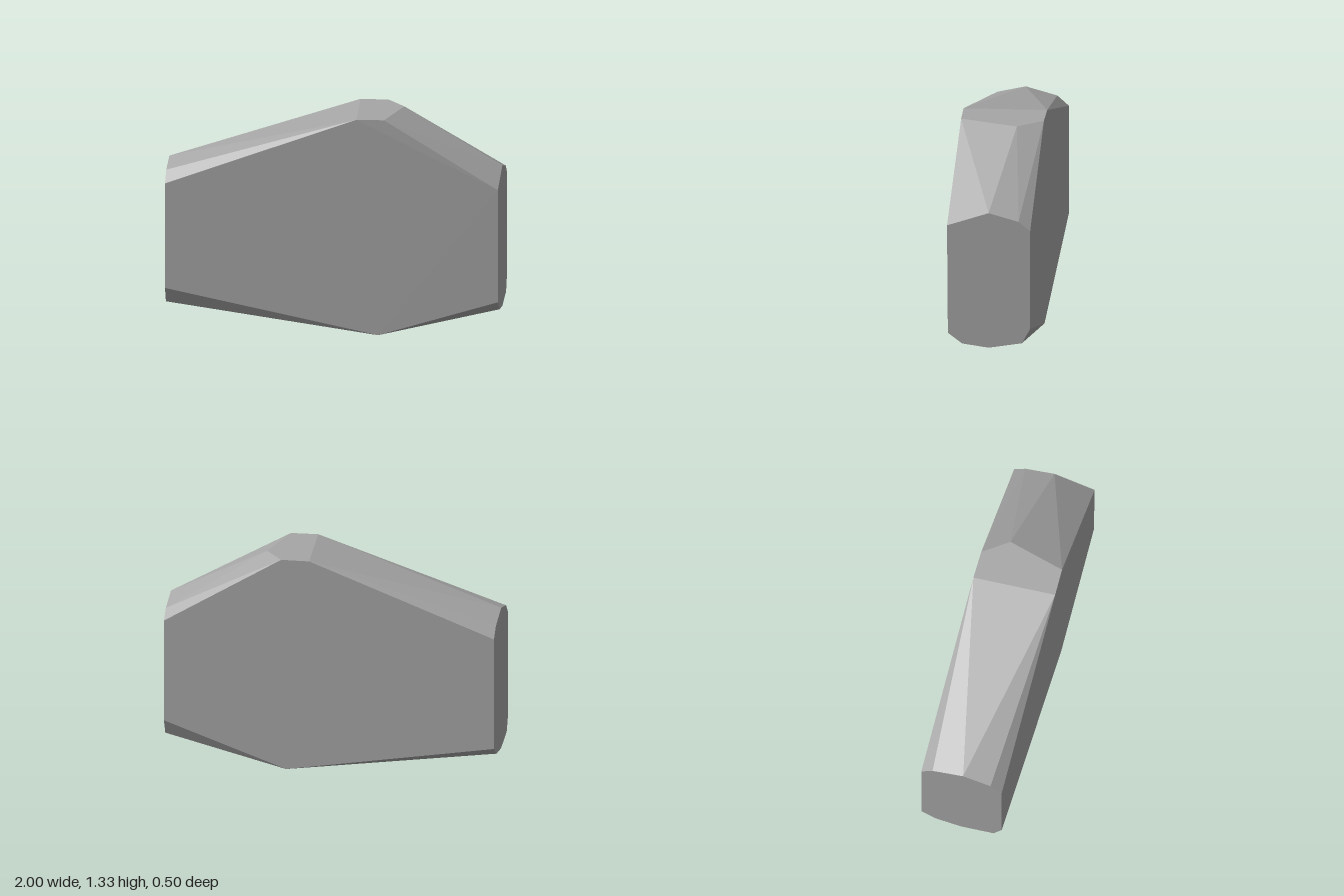
import * as THREE from 'three';
import { ConvexGeometry } from 'three/addons/geometries/ConvexGeometry.js';

// Each ring of corners lists [z, y] in the plane of one cut end.
const leftEnd = [
  [0.25, 0.915], [0, 1.005], [-0.18, 0.957], [-0.25, 0.9],
  [-0.25, 0.27], [-0.2, 0.175], [0, 0.137], [0.16, 0.157], [0.245, 0.222],
];
const rightEnd = [
  [0.25, 0.9], [0.18, 0.967], [0.01, 1.01], [-0.18, 0.96], [-0.25, 0.897],
  [-0.25, 0.205], [-0.16, 0.145], [0, 0.125], [0.2, 0.16], [0.25, 0.255],
];

// Flat crown [x, z] and the keel edge below it.
const crownY = 1.325;
const crown = [[0.15, 0.25], [0.315, 0.245], [0.4, -0.1], [0.29, -0.25], [0.12, -0.25]];
const keel = [[0.28, 0, 0.25], [0.26, 0.005, -0.25]];

export function createModel() {
  const group = new THREE.Group();
  group.name = 'stoneSlab';

  const stone = new THREE.MeshStandardMaterial({ color: 0xa6a6a6, flatShading: true });
  stone.name = 'grey stone';

  const points = [
    ...leftEnd.map(([z, y]) => new THREE.Vector3(1, y, z)),
    ...rightEnd.map(([z, y]) => new THREE.Vector3(-1, y, z)),
    ...crown.map(([x, z]) => new THREE.Vector3(x, crownY, z)),
    ...keel.map((p) => new THREE.Vector3(...p)),
  ];

  // Faceted rock body stretched over the corners
  const rock = new THREE.Mesh(new ConvexGeometry(points), stone);
  rock.name = 'rock';
  group.add(rock);
  return group;
}
